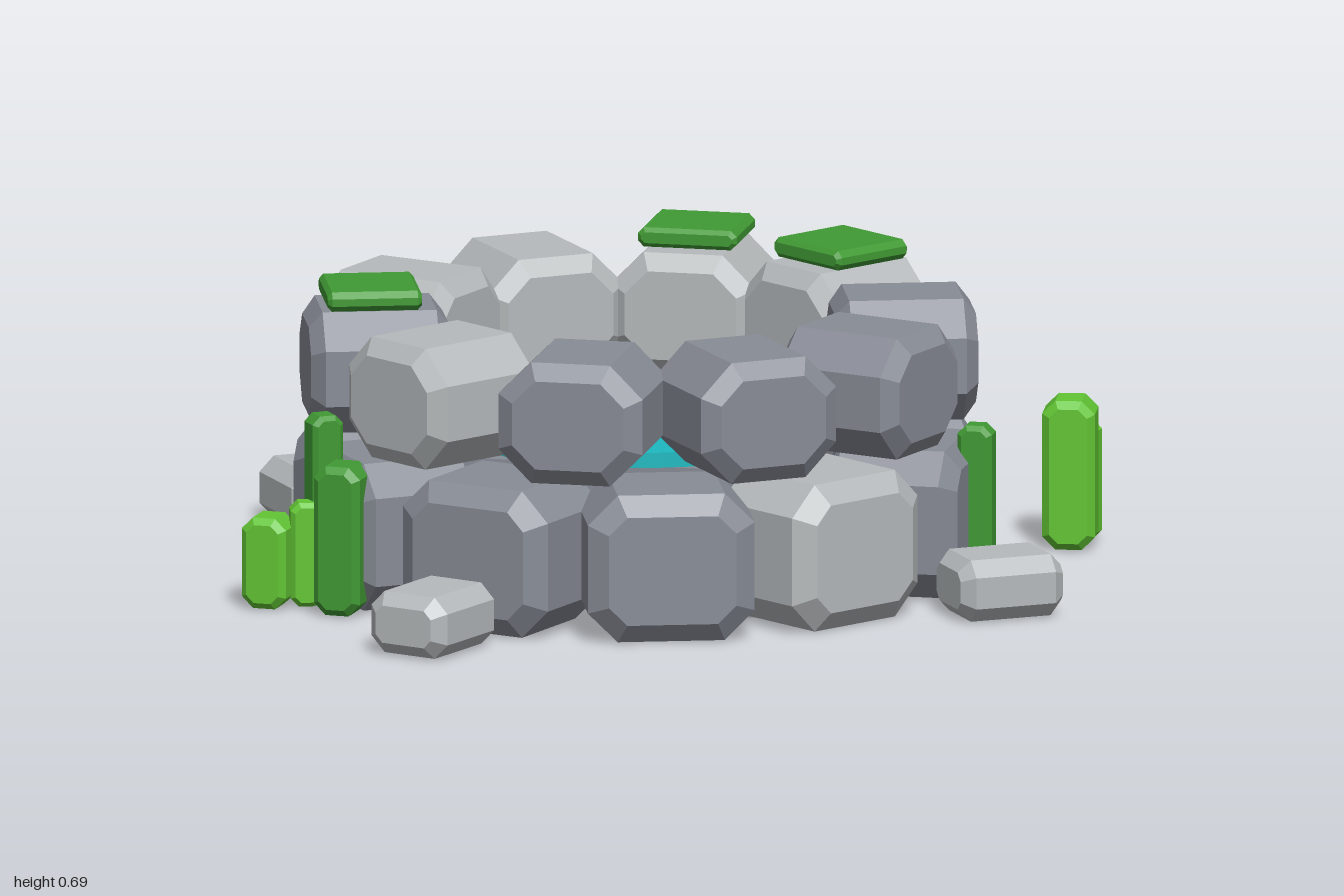
import * as THREE from 'three';

const mat = (name, color) => {
  const m = new THREE.MeshStandardMaterial({ color });
  m.name = name;
  return m;
};

// Octagonal block with bevelled ends: width x, height y, depth z, base at y = 0
function block(w, h, d, cut, bevel, thick = bevel) {
  const x = w / 2 - bevel, y = h / 2 - bevel, c = cut - 0.586 * bevel;
  const shape = new THREE.Shape([
    [x - c, -y], [x, -y + c], [x, y - c], [x - c, y],
    [-x + c, y], [-x, y - c], [-x, -y + c], [-x + c, -y],
  ].map(([a, b]) => new THREE.Vector2(a, b)));
  const g = new THREE.ExtrudeGeometry(shape, {
    depth: d - 2 * thick, bevelEnabled: true, bevelSegments: 1,
    bevelSize: bevel, bevelThickness: thick,
  });
  return g.translate(0, h / 2, thick - d / 2);
}

export function createModel() {
  const model = new THREE.Group();
  model.name = 'stoneWell';
  const darkStone = mat('dark stone', 0x888c96);
  const lightStone = mat('light stone', 0xb6babc);
  const moss = mat('moss green', 0x419a34);
  const leaf = mat('leaf green', 0x62c534);
  const water = mat('water', 0x1cbac0);

  const add = (parent, name, geometry, material, x, y, z, turn = 0) => {
    const mesh = new THREE.Mesh(geometry, material);
    mesh.name = name;
    mesh.position.set(x, y, z);
    mesh.rotation.y = turn;
    parent.add(mesh);
  };

  // Well body, centred slightly off the origin
  const well = new THREE.Group();
  well.name = 'well';
  well.position.set(-0.04, 0, -0.12);
  model.add(well);

  add(well, 'core', new THREE.BoxGeometry(0.8, 0.34, 0.8), darkStone, 0, 0.17, 0);
  add(well, 'waterSurface', new THREE.CylinderGeometry(0.44, 0.44, 0.035, 24), water, 0, 0.358, 0);

  // Two rings of ten stones, the upper one staggered by half a stone
  const STEP = Math.PI / 5;
  const ring = (name, geometry, radius, y, offset, lightOnes) => {
    for (let i = 0; i < 10; i++) {
      const a = offset + i * STEP;
      add(well, name, geometry, lightOnes.includes(i) ? lightStone : darkStone,
        Math.sin(a) * radius, y, Math.cos(a) * radius, a);
    }
  };
  ring('lowerStone', block(0.38, 0.34, 0.31, 0.068, 0.045, 0.035), 0.615, 0.003, STEP / 2, [1, 6]);
  ring('upperStone', block(0.335, 0.28, 0.32, 0.076, 0.038, 0.03), 0.6, 0.362, 0, [4, 5, 6, 7, 9]);

  // Moss pads on three upper stones
  const pad = block(0.23, 0.045, 0.215, 0.014, 0.01);
  for (const i of [4, 5, 8]) {
    const a = i * STEP;
    add(well, 'mossPad', pad, moss, Math.sin(a) * 0.612, 0.645, Math.cos(a) * 0.612, a);
  }

  // Loose rocks on the ground
  const rock = block(0.205, 0.142, 0.25, 0.035, 0.028);
  for (const [x, z, turn] of [[-0.326, 0.763, -0.36], [0.85, 0.123, 2.16], [-0.865, -0.482, 0.6]]) {
    add(model, 'looseRock', rock, lightStone, x, 0.003, z, turn);
  }

  // Plant stalks: x, z, width, depth, height, turn, colour
  const stalks = [
    [0.855, -0.605, 0.12, 0.12, 0.345, 0.12, leaf],
    [0.865, -0.68, 0.08, 0.07, 0.275, -0.2, leaf],
    [0.61, -0.625, 0.1, 0.105, 0.245, -0.15, leaf],
    [0.742, -0.125, 0.08, 0.065, 0.38, 0, moss],
    [0.205, -0.88, 0.07, 0.06, 0.255, -0.25, moss],
    [-0.285, -0.875, 0.07, 0.065, 0.33, 0.3, moss],
    [-0.785, 0.4, 0.105, 0.105, 0.21, -0.1, leaf],
    [-0.705, 0.372, 0.075, 0.065, 0.24, 0.3, leaf],
    [-0.673, 0.332, 0.075, 0.07, 0.435, 0.6, moss],
    [-0.607, 0.437, 0.11, 0.11, 0.345, -0.1, moss],
  ];
  for (const [x, z, w, d, h, turn, colour] of stalks) {
    add(model, 'plantStalk', block(w, h, d, w * 0.25, w * 0.14), colour, x, 0.003, z, turn);
  }
  return model;
}
